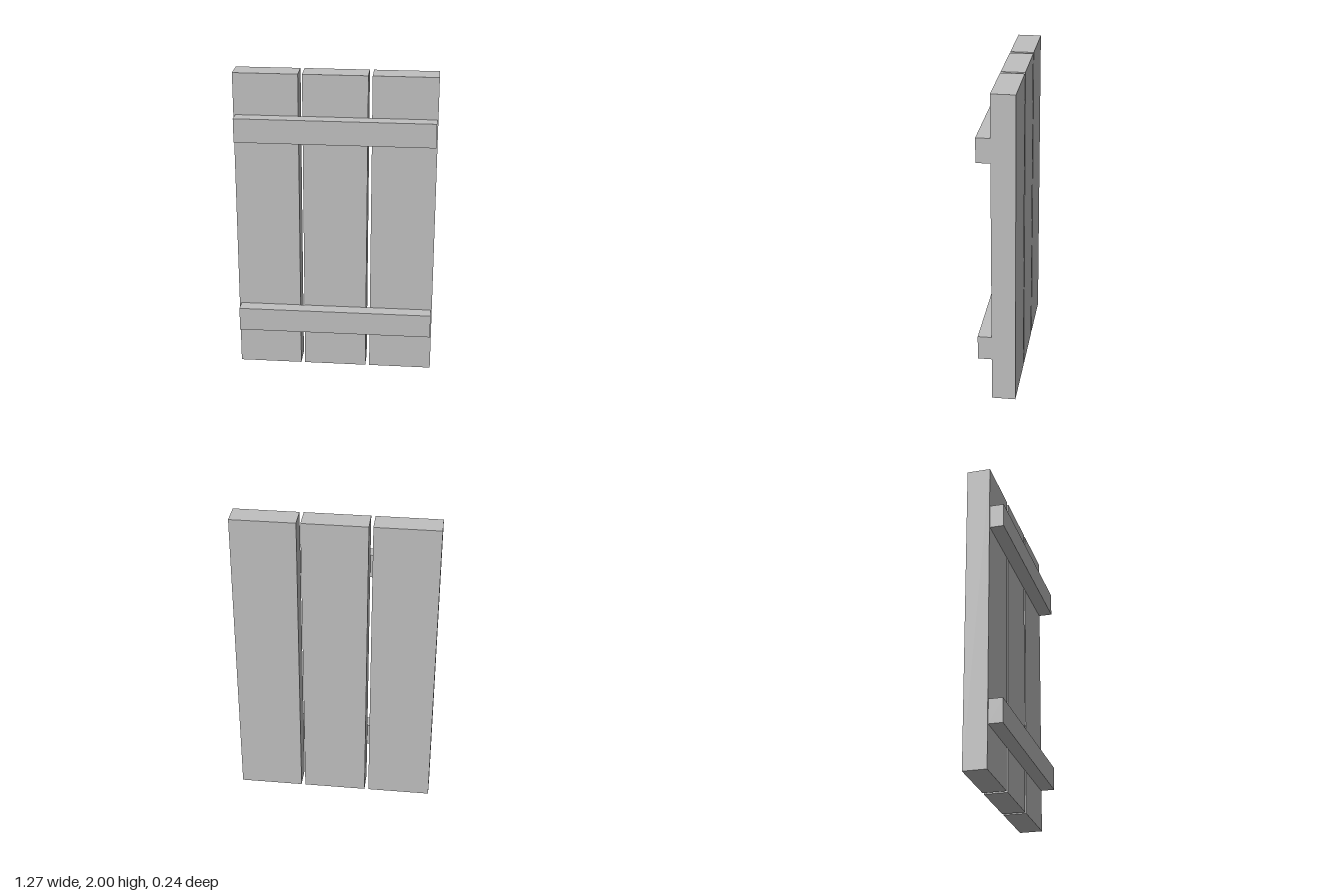
import * as THREE from 'three';

export function createModel() {
  const group = new THREE.Group();
  group.name = 'plankDoor';

  const grey = new THREE.MeshStandardMaterial({ color: 0xc0c0c0 });
  grey.name = 'plain grey';

  // Box given by its lower and upper corners
  const addBoard = (name, [x0, y0, z0], [x1, y1, z1]) => {
    const mesh = new THREE.Mesh(new THREE.BoxGeometry(x1 - x0, y1 - y0, z1 - z0), grey);
    mesh.position.set((x0 + x1) / 2, (y0 + y1) / 2, (z0 + z1) / 2);
    mesh.name = name;
    group.add(mesh);
  };

  const back = -0.118, seam = 0.03, front = 0.118;

  // Three upright planks with narrow gaps between them
  const plankWidth = 0.407, pitch = 0.433;
  ['rightPlank', 'middlePlank', 'leftPlank'].forEach((name, i) => {
    const x = (i - 1) * pitch;
    addBoard(name, [x - plankWidth / 2, 0, back], [x + plankWidth / 2, 2, seam]);
  });

  // Two battens across the front, slightly short of the plank edges
  addBoard('lowerBatten', [-0.625, 0.275, seam], [0.63, 0.43, front]);
  addBoard('upperBatten', [-0.625, 1.578, seam], [0.63, 1.732, front]);

  return group;
}
